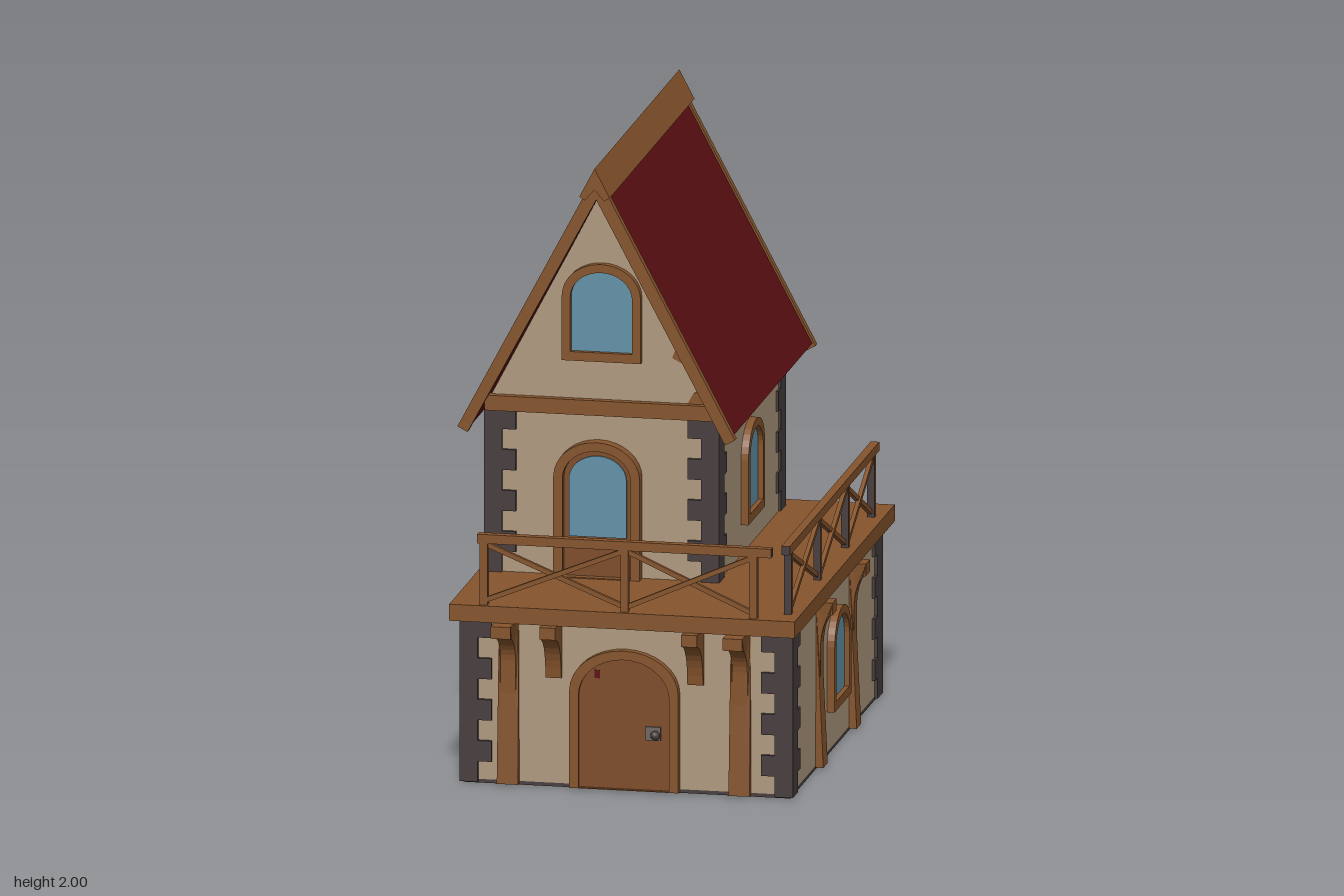
import * as THREE from 'three';

const mat = (name, color) => {
  const m = new THREE.MeshStandardMaterial({ color });
  m.name = name;
  return m;
};

export function createModel() {
  const plaster = mat('plaster', 0xb09a7f), wood = mat('wood', 0x85542c), doorWood = mat('door wood', 0x7e4c29);
  const stone = mat('dark stone', 0x483d3e), red = mat('roof red', 0x5c0f12), glass = mat('glass', 0x6391a8);
  const metal = mat('metal', 0x6e6763);
  const house = new THREE.Group();
  house.name = 'house';
  const CX = -0.15; // centre line of the upper storey and roof

  const mesh = (name, geo, material, parent = house) => {
    const m = new THREE.Mesh(geo, material);
    m.name = name;
    parent.add(m);
    return m;
  };
  // box given by its limits
  const box = (name, x0, x1, y0, y1, z0, z1, material, parent) => {
    const m = mesh(name, new THREE.BoxGeometry(x1 - x0, y1 - y0, z1 - z0), material, parent);
    m.position.set((x0 + x1) / 2, (y0 + y1) / 2, (z0 + z1) / 2);
    return m;
  };
  const extrude = (shape, depth) =>
    new THREE.ExtrudeGeometry(shape, { depth, bevelEnabled: false, curveSegments: 8 });
  const polygon = pts => new THREE.Shape(pts.map(p => new THREE.Vector2(...p)));
  const TURN = { front: 0, right: Math.PI / 2, back: Math.PI, left: -Math.PI / 2 };
  const place = (obj, side, x, y, z) => {
    obj.rotation.y = TURN[side];
    obj.position.set(x, y, z);
    return obj;
  };

  // storeys, deck and underside
  box('foundation', -0.53, 0.55, 0, 0.012, -0.665, 0.725, stone);
  box('lowerWalls', -0.53, 0.55, 0.012, 0.556, -0.665, 0.725, plaster);
  box('deck', -0.56, 0.58, 0.555, 0.61, -0.77, 0.805, wood);
  box('upperWalls', CX - 0.38, CX + 0.38, 0.61, 1.17, -0.68, 0.345, plaster);

  // corner stones, alternately short and long
  function quoins(name, x0, x1, z0, z1, y0, y1) {
    const h = (y1 - y0) / 8;
    for (const [cx, sx] of [[x0, 1], [x1, -1]]) for (const [cz, sz] of [[z0, 1], [z1, -1]])
      for (let i = 0; i < 8; i++) {
        const w = i % 2 ? 0.105 : 0.06, d = i % 2 ? 0.12 : 0.08;
        const b = mesh(name, new THREE.BoxGeometry(w, h, d), stone);
        b.position.set(cx + sx * w / 2, y0 + h * (i + 0.5), cz + sz * d / 2);
      }
  }
  quoins('lowerCornerStone', -0.54, 0.56, -0.677, 0.738, 0.005, 0.555);
  quoins('upperCornerStone', CX - 0.39, CX + 0.387, -0.692, 0.357, 0.61, 1.155);

  // arched outline standing on y = y0
  function arch(w, h, y0 = 0, Type = THREE.Shape) {
    const s = new Type(), r = w / 2, rise = Math.min(w * 0.42, 0.14);
    s.moveTo(-r, y0);
    s.lineTo(r, y0);
    s.lineTo(r, h - rise);
    s.absellipse(0, h - rise, r, rise, 0, Math.PI, false);
    s.closePath();
    return s;
  }
  function archFrame(w, h, t, bottom, depth) {
    const s = arch(w, h);
    s.holes.push(arch(w - 2 * t, h - t, bottom, THREE.Path));
    return extrude(s, depth);
  }
  function windowUnit(side, x, y, z, w = 0.26, h = 0.325) {
    const g = new THREE.Group();
    g.name = 'window';
    mesh('windowFrame', archFrame(w, h, 0.028, 0.03, 0.025), wood, g);
    mesh('windowPane', extrude(arch(w - 0.05, h - 0.025, 0.025), 0.008), glass, g);
    house.add(place(g, side, x, y, z));
  }
  windowUnit('front', CX, 1.33, 0.345);
  windowUnit('right', 0.55, 0.145, 0.02);
  windowUnit('left', -0.53, 0.145, 0.02);
  windowUnit('back', 0.01, 0.145, -0.665);
  windowUnit('right', CX + 0.38, 0.71, -0.15);
  windowUnit('left', CX - 0.38, 0.71, -0.15);

  // ground floor door
  const door = new THREE.Group();
  door.name = 'frontDoor';
  mesh('doorFrame', archFrame(0.36, 0.465, 0.03, 0.003, 0.028), wood, door);
  mesh('doorPanel', extrude(arch(0.31, 0.44), 0.016), doorWood, door);
  box('doorPlate', 0.07, 0.12, 0.17, 0.215, 0.016, 0.022, metal, door);
  mesh('doorKnob', new THREE.SphereGeometry(0.016, 8, 6), stone, door).position.set(0.105, 0.19, 0.035);
  box('doorMark', -0.098, -0.08, 0.368, 0.395, 0.016, 0.02, red, door);
  house.add(place(door, 'front', 0.005, 0.005, 0.725));

  // balcony door with glazed upper part
  const balconyDoor = new THREE.Group();
  balconyDoor.name = 'balconyDoor';
  mesh('balconyDoorFrame', archFrame(0.285, 0.455, 0.03, 0.003, 0.042), wood, balconyDoor);
  mesh('balconyDoorPanel', extrude(arch(0.24, 0.43), 0.016), doorWood, balconyDoor);
  mesh('balconyDoorPane', extrude(arch(0.19, 0.405, 0.135), 0.008), glass, balconyDoor).position.z = 0.015;
  house.add(place(balconyDoor, 'front', -0.162, 0.61, 0.345));

  // curved bracket, optionally standing on a tapered post
  function bracket(name, side, x, y, z, { w, h, d, drop, post = false }) {
    const s = new THREE.Shape(), low = h - drop;
    s.moveTo(0, post ? 0 : low);
    if (post) {
      s.lineTo(0.025, 0);
      s.lineTo(0.013, 0.3);
    }
    s.lineTo(0.014, low);
    s.quadraticCurveTo(0.02, h - 0.055, d, h - 0.04);
    s.lineTo(d, h);
    s.lineTo(0, h);
    const geo = extrude(s, w).translate(0, 0, -w / 2).rotateY(-Math.PI / 2);
    if (post) {
      const p = geo.attributes.position; // widen the foot and the head
      for (let i = 0; i < p.count; i++) {
        const py = p.getY(i);
        p.setX(i, p.getX(i) * (1 + 0.4 * Math.max(0, 1 - py / 0.3) + (py > h - 0.05 ? 0.3 : 0)));
      }
      geo.computeVertexNormals();
    }
    place(mesh(name, geo, wood), side, x, y, z);
  }
  const post = d => ({ w: 0.05, h: 0.55, d, drop: 0.14, post: true });
  const corbel = { w: 0.052, h: 0.2, d: 0.11, drop: 0.19 };
  for (const [side, z] of [['front', 0.725], ['back', -0.665]]) {
    for (const x of [-0.38, 0.385]) bracket('post', side, x, 0.005, z, post(0.13));
    for (const x of [-0.23, 0.238]) bracket('corbel', side, x, 0.355, z, corbel);
  }
  for (const z of [0.295, -0.23]) {
    bracket('post', 'right', 0.55, 0.005, z, post(0.055));
    bracket('post', 'left', -0.53, 0.005, z, post(0.06));
  }
  for (const x of [CX - 0.2, CX + 0.16])
    bracket('gableBracket', 'back', x, 0.95, -0.68, { w: 0.055, h: 0.2, d: 0.12, drop: 0.19 });

  // balcony rails: brown outside, dark inside
  const railMats = [wood, stone, wood, wood, wood, stone], capMats = [stone, stone, wood, wood, wood, stone];
  function railing(x0, x1, posts) {
    const g = new THREE.Group();
    g.name = 'railing';
    box('handrail', x0, x1, 0.205, 0.235, -0.014, 0.014, capMats, g);
    posts.forEach((x, i) => {
      box('railPost', x - 0.013, x + 0.013, 0, 0.207, -0.012, 0.012, railMats, g);
      if (!i) return;
      const a = posts[i - 1], len = Math.hypot(x - a, 0.19);
      for (const s of [1, -1]) {
        const b = mesh('railBrace', new THREE.BoxGeometry(len, 0.016, 0.014), railMats, g);
        b.position.set((x + a) / 2, 0.108, s * 0.003);
        b.rotation.z = s * Math.atan2(0.19, x - a);
      }
    });
    house.add(g);
    return g;
  }
  place(railing(-0.47, 0.5, [-0.45, 0.015, 0.44]), 'front', 0, 0.61, 0.78);
  place(railing(-0.745, 0.66, [-0.7, -0.24, 0.195, 0.605]), 'right', 0.538, 0.61, 0);

  // gables with sill beams
  const gable = extrude(polygon([[-0.385, 1.165], [0.385, 1.165], [0, 1.9]]), 1.135);
  mesh('gable', gable, plaster).position.set(CX, 0, -0.79);
  box('frontSillBeam', CX - 0.385, CX + 0.385, 1.15, 1.2, 0.33, 0.37, wood);
  box('backOverhangBeam', CX - 0.385, CX + 0.385, 1.15, 1.2, -0.815, -0.67, wood);

  // curved timbers on the back gable
  for (const s of [-1, 1]) {
    const t = new THREE.Shape();
    t.moveTo(0, 1.19);
    t.quadraticCurveTo(s * 0.02, 1.44, s * 0.23, 1.47);
    t.lineTo(s * 0.25, 1.425);
    t.quadraticCurveTo(s * 0.08, 1.4, s * 0.05, 1.19);
    mesh('gableTimber', extrude(t, 0.02), wood).position.set(CX, 0, -0.808);
  }

  // bare patches in the front plaster
  for (const pts of [
    [[0.085, 1.455], [0.105, 1.44], [0.17, 1.315], [0.12, 1.33], [0.08, 1.35], [0.095, 1.39], [0.075, 1.42]],
    [[0.13, 1.2], [0.215, 1.2], [0.187, 1.255], [0.15, 1.235]],
  ]) mesh('barePatch', extrude(polygon(pts), 0.004), wood).position.z = 0.345;

  // roof, barge boards and ridge cap, each an inverted V
  function chevron(name, hw, yLow, yTop, inX, inY, inTop, z0, z1, material) {
    const s = polygon([[hw, yLow], [0, yTop], [-hw, yLow], [-hw + inX, yLow - inY], [0, yTop - inTop], [hw - inX, yLow - inY]]);
    mesh(name, extrude(s, z1 - z0), material).position.set(CX, 0, z0);
  }
  chevron('roof', 0.447, 1.12, 1.965, 0.025, 0.013, 0.066, -0.825, 0.425, red);
  for (const z of [-0.848, 0.42])
    chevron('bargeBoard', 0.458, 1.112, 1.978, 0.033, 0.018, 0.088, z, z + 0.028, wood);
  chevron('ridgeCap', 0.05, 1.905, 2, 0.018, 0.012, 0.07, -0.86, 0.475, wood);

  return house;
}
